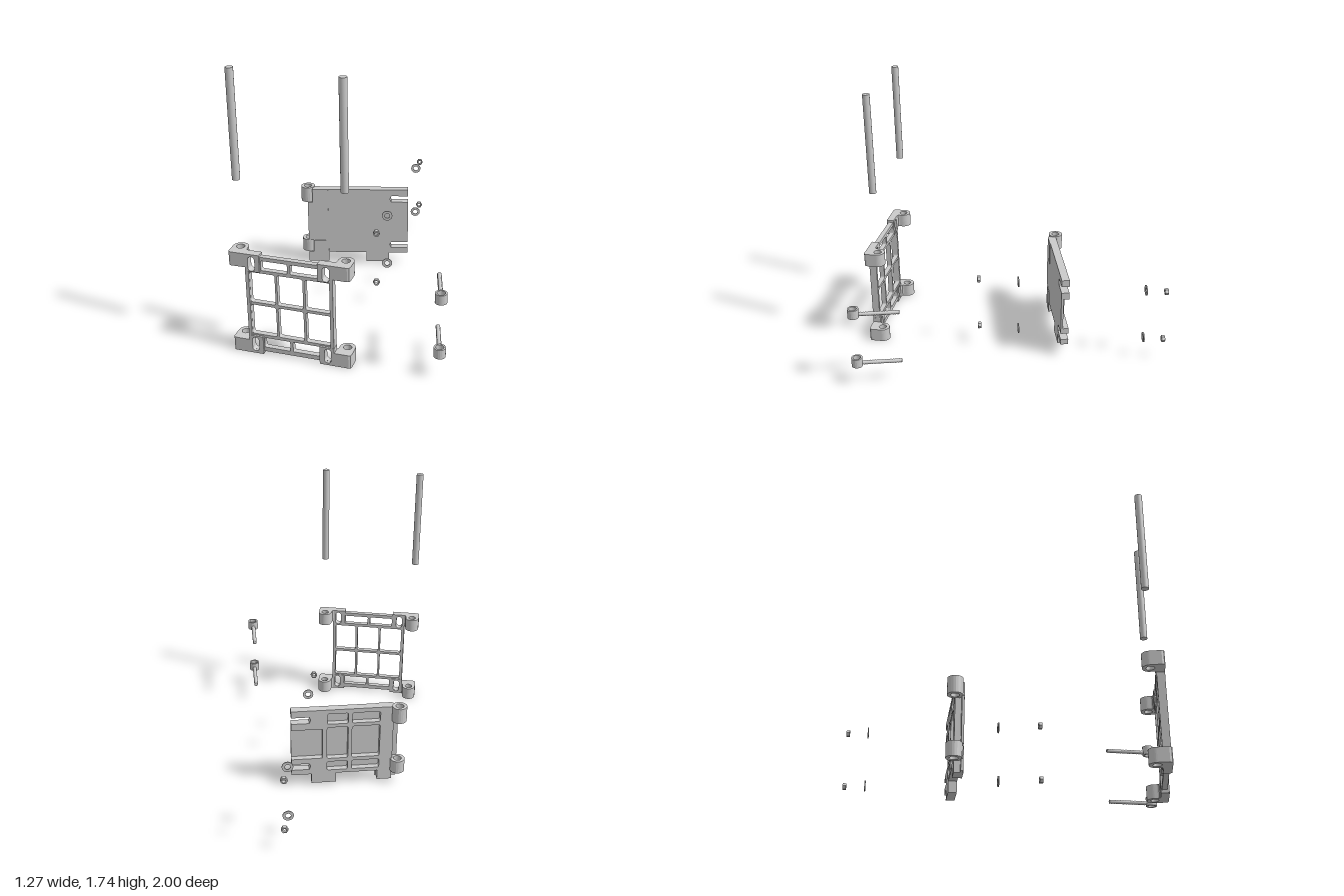
import * as THREE from 'three';

const grey = new THREE.MeshStandardMaterial({ color: 0xcccccc });
const TILT = Math.PI / 12;

function add(parent, name, geometry, x = 0, y = 0, z = 0) {
  const m = new THREE.Mesh(geometry, grey);
  m.name = name;
  m.position.set(x, y, z);
  parent.add(m);
  return m;
}

// Rounded rectangle between two corners
function rounded(x0, y0, x1, y1, r, target = new THREE.Path()) {
  target.moveTo(x0 + r, y0);
  target.absarc(x1 - r, y0 + r, r, -Math.PI / 2, 0);
  target.absarc(x1 - r, y1 - r, r, 0, Math.PI / 2);
  target.absarc(x0 + r, y1 - r, r, Math.PI / 2, Math.PI);
  target.absarc(x0 + r, y0 + r, r, Math.PI, Math.PI * 1.5);
  return target;
}

function circle(r, target = new THREE.Path()) {
  target.absarc(0, 0, r, 0, Math.PI * 2);
  return target;
}

function polygon(points) {
  return new THREE.Shape(points.map(([x, y]) => new THREE.Vector2(x, y)));
}

function extrude(shape, depth, holes = []) {
  shape.holes.push(...holes);
  return new THREE.ExtrudeGeometry(shape, { depth, bevelEnabled: false, curveSegments: 10 });
}

// Extrude a plan shape (x, z) upwards from y = 0
function extrudeUp(shape, height, holes) {
  return extrude(shape, height, holes).rotateX(Math.PI / 2).translate(0, height, 0);
}

function ring(outer, inner, height) {
  return extrudeUp(circle(outer, new THREE.Shape()), height, [circle(inner)]);
}

// Open grid frame with four pin knuckles
function makeFrame() {
  const g = new THREE.Group();
  g.name = 'gridFrame';
  const slots = () => [-0.52, -0.068].flatMap((x) =>
    [0.015, 0.553].map((y) => rounded(x, y, x + 0.042, y + 0.092, 0.0205)));
  const holes = [];
  for (const [a, b] of [[-0.518, -0.363], [-0.35, -0.193], [-0.178, -0.028]])
    for (const [c, d] of [[0.128, 0.325], [0.343, 0.54]]) holes.push(rounded(a, c, b, d, 0.013));
  for (const [a, b] of [[-0.445, -0.284], [-0.266, -0.095]])
    for (const [c, d] of [[0.043, 0.108], [0.56, 0.622]]) holes.push(rounded(a, c, b, d, 0.008));
  const plate = rounded(-0.535, 0.02, -0.01, 0.645, 0.002, new THREE.Shape());
  add(g, 'grid', extrude(plate, 0.033, [...holes, ...slots()]), 0, 0, 0.955);

  // Slotted corner pads and side rails
  for (const [x0, x1, sx, rail] of [[-0.538, -0.45, -0.52, -0.529], [-0.098, -0.007, -0.068, -0.018]]) {
    for (const [y0, y1, sy] of [[0, 0.118, 0.015], [0.55, 0.66, 0.553]]) {
      const pad = rounded(x0, y0, x1, y1, 0.002, new THREE.Shape());
      add(g, 'cornerPad', extrude(pad, 0.05, [rounded(sx, sy, sx + 0.042, sy + 0.092, 0.0205)]), 0, 0, 0.95);
    }
    add(g, 'sideRail', new THREE.BoxGeometry(0.02, 0.45, 0.047), rail, 0.33, 0.976);
  }

  // Knuckles, mirrored for the two sides
  for (const [s, x] of [[1, -0.595], [-1, 0.048]]) {
    const pts = [];
    for (let i = 0; i <= 20; i++) {
      const a = Math.PI + (i / 20) * Math.PI;
      pts.push([s * 0.047 * Math.cos(a), 0.047 * Math.sin(a)]);
    }
    for (const [px, pz] of [[0.047, 0.018], [0.05, 0.027], [0.06, 0.033], [0.06, 0.083], [-0.03, 0.083], [-0.042, 0.078], [-0.047, 0.066]])
      pts.push([s * px, pz]);
    for (const y of [0, 0.573])
      add(g, 'frameKnuckle', extrudeUp(polygon(pts), 0.087, [circle(0.025)]), x, y, 0.917);
  }
  return g;
}

// Tilted door: thin face sheet with a ribbed back
function makeDoor() {
  const g = new THREE.Group();
  g.name = 'door';
  g.position.set(-0.595, 0, -0.19);
  g.rotation.y = TILT;
  // Outline with bottom tabs and two open end slots
  const outline = (start, knuckleStart, endNotch) => polygon([
    [start, 0.02], [0.13, 0.02], [0.13, 0.09], [0.4, 0.09], [0.4, 0.02], [0.56, 0.02], [0.56, 0.09], [0.69, 0.09],
    [0.69, 0.128], [0.575, 0.128], [0.565, 0.15], [0.575, 0.172], [0.69, 0.172],
    ...endNotch,
    [0.69, 0.478], [0.575, 0.478], [0.565, 0.5], [0.575, 0.523], [0.69, 0.523],
    [0.69, 0.57], [knuckleStart, 0.57], [knuckleStart, 0.47], [start, 0.47],
    [start, 0.18], [knuckleStart, 0.18], [knuckleStart, 0.09], [start, 0.09],
  ]);
  add(g, 'faceSheet', extrude(outline(0, 0.033, []), 0.015), 0, 0, 0.04);
  const pockets = [];
  for (const [a, b] of [[0.12, 0.3], [0.325, 0.46]])
    for (const [c, d] of [[0.115, 0.18], [0.205, 0.44], [0.465, 0.54]]) pockets.push(rounded(a, c, b, d, 0.012));
  const notch = [[0.69, 0.21], [0.49, 0.21], [0.49, 0.43], [0.69, 0.43]];
  add(g, 'backRibs', extrude(outline(0.035, 0.035, notch), 0.037, pockets), 0, 0, 0.003);
  // Raised strips beside the hinge
  for (const [y, h] of [[0.49, 0.16], [0.1, 0.16]])
    add(g, 'hingeStrip', new THREE.BoxGeometry(0.1, h, 0.008), 0.09, y, 0.055);
  for (const [y, h] of [[0.47, 0.105], [0.09, 0.09]]) add(g, 'doorKnuckle', ring(0.047, 0.026, h), 0, y, 0);
  return g;
}

// Eye bolt with a ridged shank
function makeEyeBolt(y) {
  const g = new THREE.Group();
  g.name = 'eyeBolt';
  g.position.set(0.598, y, 0.917);
  g.rotation.y = TILT;
  add(g, 'eye', ring(0.035, 0.024, 0.06), 0, -0.02, 0);
  const profile = [new THREE.Vector2(0, 0)];
  for (let i = 0; i <= 50; i++) profile.push(new THREE.Vector2(i % 2 ? 0.014 : 0.011, i * 0.0051));
  profile.push(new THREE.Vector2(0, 0.255));
  add(g, 'threadedShank', new THREE.LatheGeometry(profile, 14).rotateX(-Math.PI / 2), 0, 0, -0.029);
  return g;
}

export function createModel() {
  const model = new THREE.Group();
  model.name = 'explodedHingeAssembly';
  model.add(makeFrame(), makeDoor());

  for (const x of [-0.595, 0.048])
    add(model, 'hingePin', new THREE.CylinderGeometry(0.023, 0.023, 0.655, 24), x, 1.4125, 0.921);

  // Bolts, washers and nuts at both heights
  for (const y of [0.503, 0.15]) {
    model.add(makeEyeBolt(y));
    for (const [x, z] of [[0.02, 0.028 - 0.05], [0.003, -0.855]]) {
      const washer = add(model, 'washer', ring(0.034, 0.017, 0.007).translate(0, -0.0035, 0).rotateX(Math.PI / 2), x, y, z);
      washer.rotation.y = TILT;
    }
    for (const [x, z] of [[0.024, 0.242], [0, -0.985]]) {
      const hex = Array.from({ length: 6 }, (_, i) =>
        [0.022 * Math.cos(i * Math.PI / 3), 0.022 * Math.sin(i * Math.PI / 3)]);
      const nut = add(model, 'nut', extrude(polygon(hex), 0.022, [circle(0.012)]).translate(0, 0, -0.011), x, y, z);
      nut.rotation.y = TILT;
    }
  }
  return model;
}
